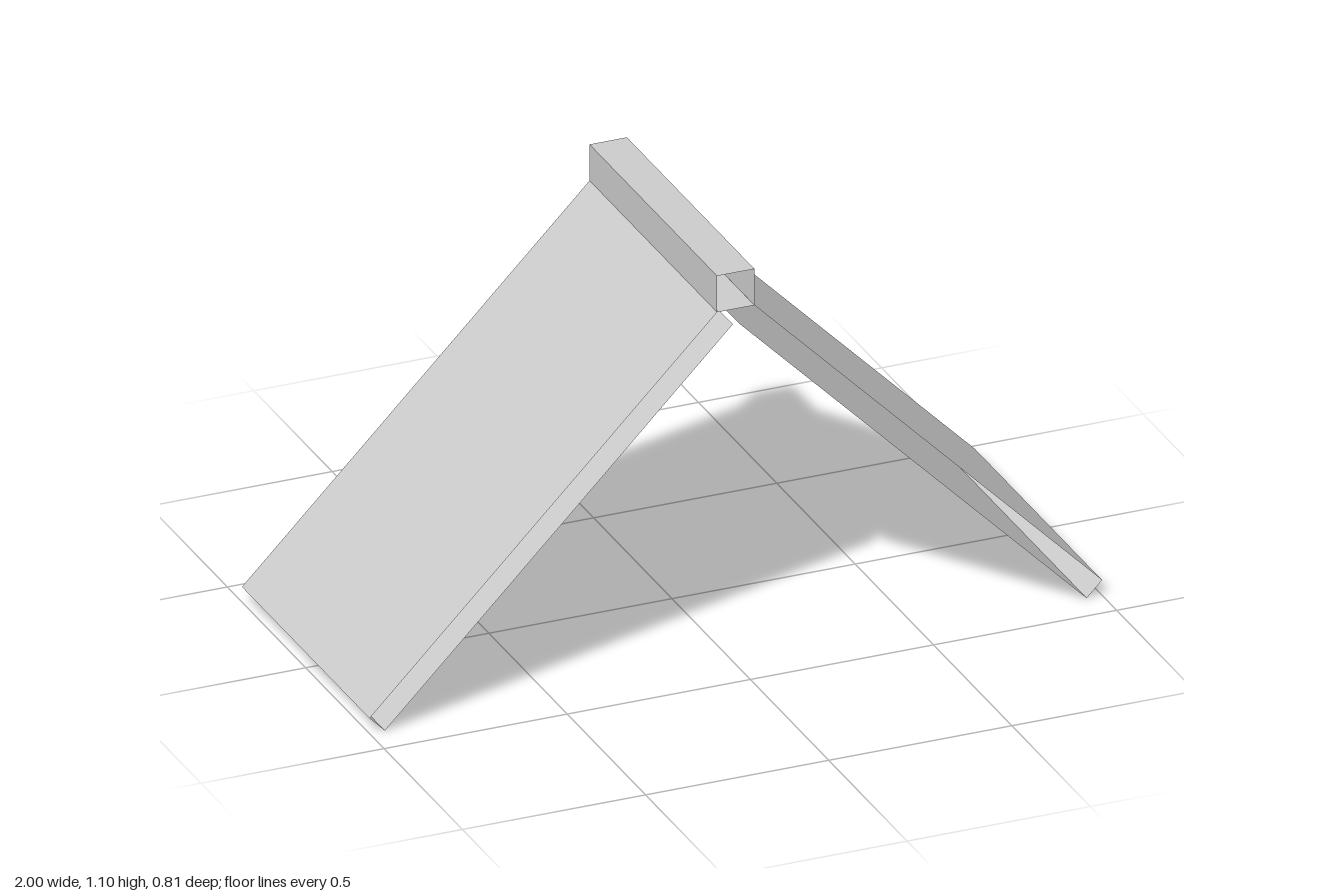
import * as THREE from 'three';

const HALF_DEPTH = 0.407;

// Sweeps a counter-clockwise [x, y] profile along z, leaving both ends open.
function openSweep(profile) {
  const positions = [];
  for (let i = 0; i < profile.length - 1; i++) {
    const [ax, ay] = profile[i];
    const [bx, by] = profile[i + 1];
    const corners = [
      [ax, ay, HALF_DEPTH], [ax, ay, -HALF_DEPTH],
      [bx, by, -HALF_DEPTH], [bx, by, HALF_DEPTH],
    ];
    for (const k of [0, 1, 2, 0, 2, 3]) positions.push(...corners[k]);
  }
  const geometry = new THREE.BufferGeometry();
  geometry.setAttribute('position', new THREE.Float32BufferAttribute(positions, 3));
  geometry.computeVertexNormals();
  return geometry;
}

export function createModel() {
  const group = new THREE.Group();
  group.name = 'gableRoof';
  const material = new THREE.MeshStandardMaterial({
    color: 0xcccccc, flatShading: true, side: THREE.DoubleSide,
  });

  function add(name, profile) {
    const mesh = new THREE.Mesh(openSweep(profile), material);
    mesh.name = name;
    group.add(mesh);
  }

  // Hollow square ridge beam
  const w = 0.051, bottom = 0.995, top = 1.0965;
  add('ridgeBeam', [[-w, bottom], [w, bottom], [w, top], [-w, top], [-w, bottom]]);

  // Hollow sloping panels, closed only along the eaves
  const slope = [[0.008, 0.953], [0.958, 0], [1, 0.0425], [0.05, 0.996]];
  add('leftRoofPanel', slope);
  add('rightRoofPanel', slope.map(([x, y]) => [-x, y]).reverse());

  return group;
}
